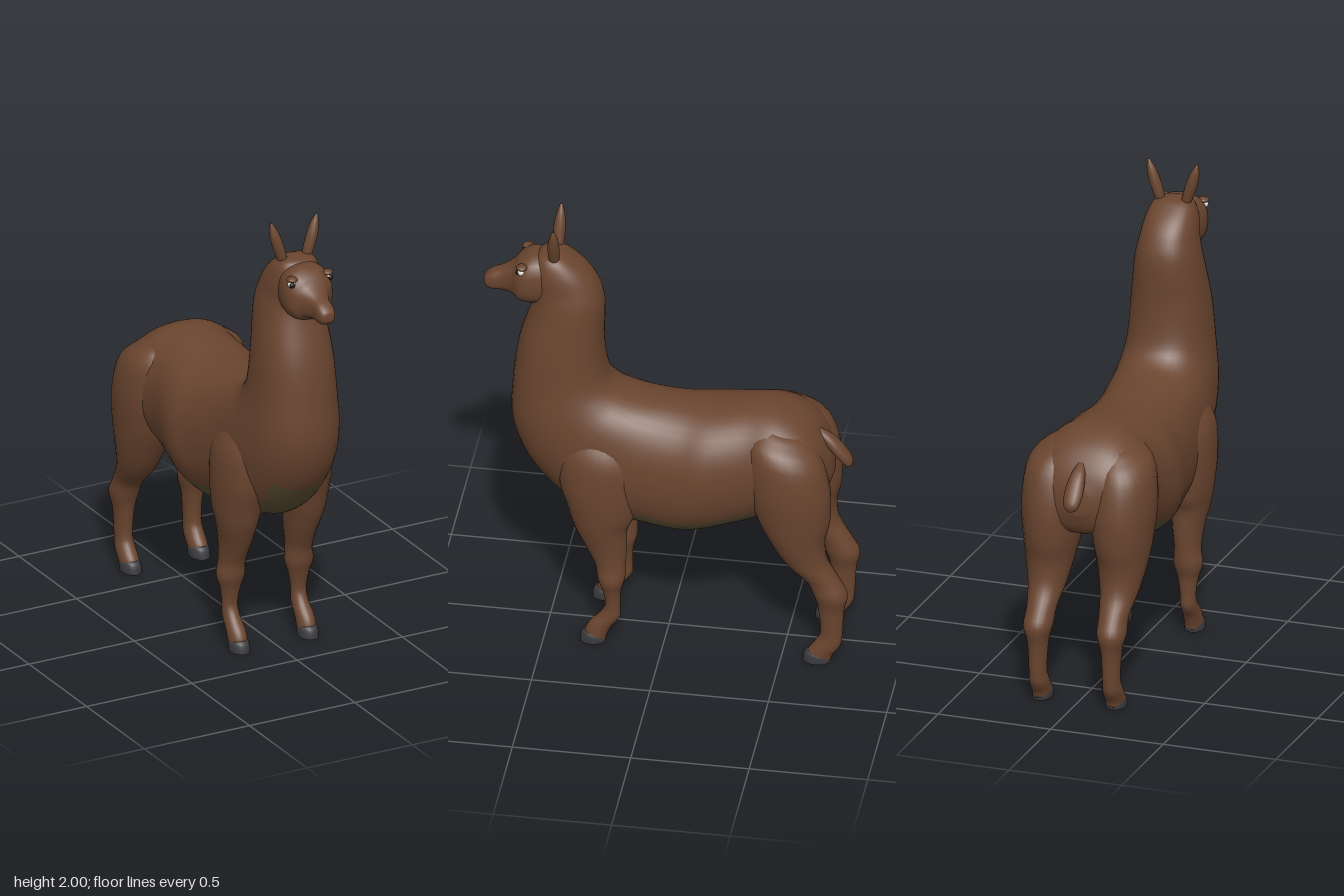
import * as THREE from 'three';

const mat = (name, color) => {
  const m = new THREE.MeshStandardMaterial({ color });
  m.name = name;
  return m;
};

// Skins a chain of oval rings. Each ring is [yA, zA, yB, zB, halfWidth, centreX]:
// A and B are opposite edge points in the side plane.
function loft(rings, { steps = 4, sides = 24, square = 1, side = 1, patch = null } = {}) {
  const curve = f => new THREE.CatmullRomCurve3(rings.map(f), false, 'catmullrom', 0.5);
  const cA = curve(r => new THREE.Vector3(0, r[0], r[1]));
  const cB = curve(r => new THREE.Vector3(0, r[2], r[3]));
  const cW = curve(r => new THREE.Vector3(r[4], (r[5] || 0) * side, 0));
  const rows = (rings.length - 1) * steps;
  const pos = [], centres = [], base = [], painted = [];
  const shape = v => Math.sign(v) * Math.pow(Math.abs(v), square);
  let facing = 0;
  for (let i = 0; i <= rows; i++) {
    const A = cA.getPoint(i / rows), B = cB.getPoint(i / rows), W = cW.getPoint(i / rows);
    const c = A.clone().add(B).multiplyScalar(0.5).setX(W.y);
    const h = A.clone().sub(B).multiplyScalar(0.5);
    for (let j = 0; j < sides; j++) {
      const t = j / sides * Math.PI * 2, k = shape(Math.cos(t));
      pos.push(c.x + shape(Math.sin(t)) * W.x, c.y + h.y * k, c.z + h.z * k);
    }
    if (i) {
      const d = c.clone().sub(centres[i - 1]);
      facing += h.clone().cross(new THREE.Vector3(1, 0, 0)).dot(d);
    }
    centres.push(c);
  }
  const tri = (list, a, b, c) => facing > 0 ? list.push(a, b, c) : list.push(a, c, b);
  for (let i = 0; i < rows; i++) for (let j = 0; j < sides; j++) {
    const a = i * sides + j, b = i * sides + (j + 1) % sides;
    const list = patch && patch(i / steps, Math.abs(j + 0.5 - sides / 2)) ? painted : base;
    tri(list, a, b, b + sides);
    tri(list, a, b + sides, a + sides);
  }
  // Close both ends
  const n = pos.length / 3, last = rows * sides;
  pos.push(...centres[0].toArray(), ...centres[rows].toArray());
  for (let j = 0; j < sides; j++) {
    const k = (j + 1) % sides;
    tri(base, n, k, j);
    tri(base, n + 1, last + j, last + k);
  }
  const g = new THREE.BufferGeometry();
  g.setAttribute('position', new THREE.Float32BufferAttribute(pos, 3));
  g.setIndex([...base, ...painted]);
  if (patch) {
    g.addGroup(0, base.length, 0);
    g.addGroup(base.length, painted.length, 1);
  }
  g.computeVertexNormals();
  return g;
}

export function createModel() {
  const model = new THREE.Group();
  const wool = mat('brown wool', 0x6a452f);
  const belly = mat('olive belly', 0x5c4d33);
  const hoof = mat('dark hoof', 0x3b3b3e);
  const white = mat('eye white', 0xe8e4dc);
  const dark = mat('eye dark', 0x1c1512);
  const add = (name, geometry, material) => {
    const m = new THREE.Mesh(geometry, material);
    m.name = name;
    model.add(m);
    return m;
  };

  // Neck and trunk in one sweep, from the crown to the rump
  add('neckAndTrunk', loft([
    [1.842, 0.46, 1.842, 0.50, 0.02],
    [1.825, 0.42, 1.825, 0.55, 0.08],
    [1.77, 0.35, 1.75, 0.58, 0.11],
    [1.70, 0.30, 1.66, 0.57, 0.123],
    [1.60, 0.272, 1.59, 0.575, 0.14],
    [1.40, 0.273, 1.40, 0.63, 0.165],
    [1.25, 0.25, 1.20, 0.655, 0.18],
    [1.185, 0.19, 1.00, 0.655, 0.20],
    [1.16, 0.10, 0.81, 0.575, 0.215],
    [1.15, 0.00, 0.63, 0.39, 0.225],
    [1.145, -0.10, 0.555, 0.10, 0.24],
    [1.15, -0.20, 0.545, -0.10, 0.262],
    [1.17, -0.35, 0.60, -0.30, 0.24],
    [1.17, -0.47, 0.67, -0.45, 0.25],
    [1.12, -0.58, 0.72, -0.58, 0.235],
    [1.04, -0.65, 0.76, -0.66, 0.18],
    [0.95, -0.69, 0.85, -0.70, 0.05],
  ], { sides: 40, steps: 5, square: 0.9,
    patch: (ring, off) => ring >= 8 && ring < 12.6 && off < (ring > 9.5 ? 6 : 4) }), [wool, belly]);

  // Face and muzzle
  add('head', loft([
    [1.82, 0.48, 1.61, 0.46, 0.09],
    [1.828, 0.57, 1.592, 0.57, 0.11],
    [1.80, 0.625, 1.60, 0.625, 0.10],
    [1.765, 0.655, 1.62, 0.655, 0.07],
    [1.735, 0.70, 1.625, 0.70, 0.046],
    [1.715, 0.745, 1.625, 0.75, 0.041],
    [1.69, 0.775, 1.64, 0.775, 0.028],
    [1.67, 0.78, 1.655, 0.78, 0.008],
  ], { square: 0.8 }), wool);

  // Leaf-shaped tail
  add('tail', loft([
    [1.07, -0.62, 1.00, -0.64, 0.02],
    [1.03, -0.69, 0.96, -0.68, 0.036],
    [0.97, -0.745, 0.92, -0.715, 0.04],
    [0.92, -0.775, 0.885, -0.75, 0.03],
    [0.89, -0.775, 0.882, -0.765, 0.006],
  ], { sides: 14 }), wool);

  const foreRings = [
    [1.08, 0.34, 1.05, 0.20, 0.04, 0.13],
    [0.95, 0.43, 0.92, 0.11, 0.10, 0.145],
    [0.80, 0.44, 0.78, 0.10, 0.115, 0.145],
    [0.68, 0.405, 0.64, 0.12, 0.098, 0.155],
    [0.58, 0.375, 0.57, 0.15, 0.082, 0.158],
    [0.48, 0.33, 0.48, 0.152, 0.066, 0.155],
    [0.39, 0.287, 0.39, 0.157, 0.056, 0.158],
    [0.32, 0.275, 0.32, 0.16, 0.062, 0.162],
    [0.26, 0.255, 0.26, 0.176, 0.045, 0.162],
    [0.19, 0.243, 0.19, 0.18, 0.034, 0.163],
    [0.14, 0.265, 0.13, 0.18, 0.035, 0.163],
    [0.09, 0.31, 0.08, 0.215, 0.039, 0.163],
    [0.045, 0.33, 0.035, 0.235, 0.04, 0.163],
    [0.02, 0.32, 0.012, 0.24, 0.036, 0.163],
  ];
  const hindRings = [
    [1.13, -0.42, 1.09, -0.58, 0.05, 0.12],
    [1.06, -0.36, 1.00, -0.665, 0.115, 0.15],
    [0.90, -0.35, 0.85, -0.705, 0.138, 0.152],
    [0.75, -0.38, 0.70, -0.705, 0.125, 0.155],
    [0.62, -0.44, 0.60, -0.685, 0.105, 0.16],
    [0.50, -0.51, 0.50, -0.695, 0.082, 0.16],
    [0.41, -0.60, 0.41, -0.745, 0.063, 0.16],
    [0.34, -0.635, 0.34, -0.78, 0.062, 0.163],
    [0.27, -0.655, 0.26, -0.765, 0.044, 0.163],
    [0.15, -0.665, 0.14, -0.758, 0.037, 0.163],
    [0.10, -0.645, 0.085, -0.75, 0.041, 0.163],
    [0.05, -0.61, 0.04, -0.72, 0.041, 0.163],
    [0.02, -0.62, 0.012, -0.71, 0.036, 0.163],
  ];
  // Hoof reaching from toe to heel
  const hoofRings = (toe, heel) => [
    [0.062, toe - 0.04, 0.035, heel + 0.01, 0.036, 0.163],
    [0.045, toe - 0.01, 0.02, heel, 0.043, 0.163],
    [0.004, toe, 0.002, heel, 0.043, 0.163],
    [0, toe - 0.005, 0, heel + 0.005, 0.038, 0.163],
  ];

  for (const side of [1, -1]) {
    const s = side > 0 ? 'left' : 'right';
    add(s + 'ForeLeg', loft(foreRings, { side }), wool);
    add(s + 'HindLeg', loft(hindRings, { side }), wool);
    add(s + 'ForeHoof', loft(hoofRings(0.35, 0.24), { side, sides: 16 }), hoof);
    add(s + 'HindHoof', loft(hoofRings(-0.59, -0.71), { side, sides: 16 }), hoof);

    // Pointed, outward-leaning ears
    add(s + 'Ear', loft([
      [1.80, 0.495, 1.80, 0.46, 0.018, 0.05],
      [1.85, 0.50, 1.85, 0.452, 0.024, 0.065],
      [1.91, 0.50, 1.91, 0.45, 0.025, 0.083],
      [1.96, 0.49, 1.96, 0.455, 0.019, 0.097],
      [2.00, 0.477, 2.00, 0.467, 0.004, 0.108],
    ], { side, sides: 14 }), wool);

    // Eye with a forward pupil and a brow
    const eye = add(s + 'Eye', new THREE.SphereGeometry(0.017, 16, 12), white);
    eye.position.set(side * 0.088, 1.772, 0.612);
    const pupil = add(s + 'Pupil', new THREE.SphereGeometry(0.013, 14, 10), dark);
    pupil.position.set(side * 0.09, 1.771, 0.62);
    const brow = add(s + 'Brow', new THREE.SphereGeometry(0.024, 16, 10), wool);
    brow.scale.set(1, 0.5, 1);
    brow.position.set(side * 0.084, 1.791, 0.608);
  }
  return model;
}
